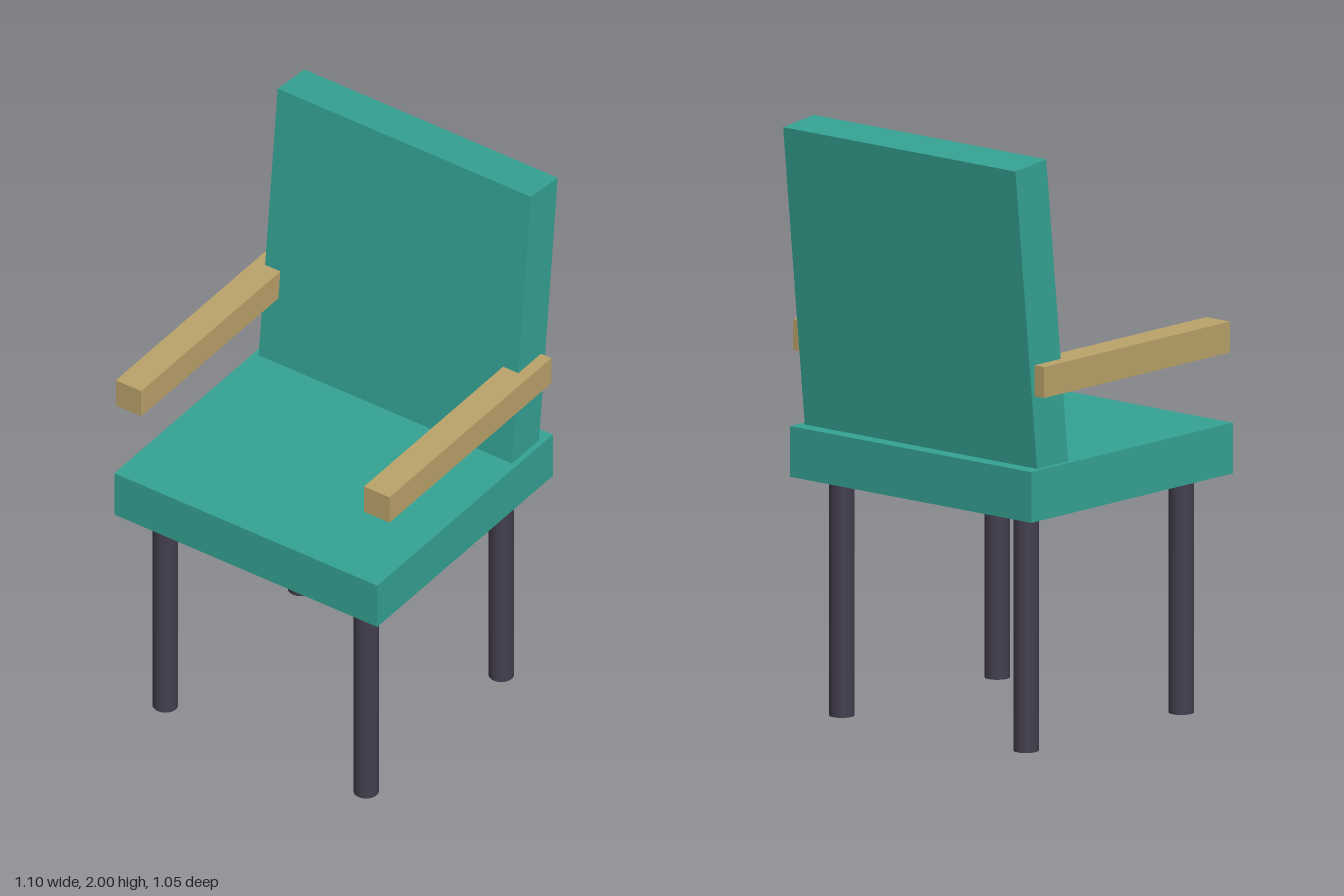
import * as THREE from 'three';

export function createModel() {
  const chair = new THREE.Group();
  chair.name = 'armchair';

  const material = (name, color) => {
    const m = new THREE.MeshStandardMaterial({ color });
    m.name = name;
    return m;
  };
  const teal = material('teal upholstery', 0x35a394);
  const wood = material('tan wood', 0xbba36a);
  const dark = material('dark leg', 0x443e4e);

  const add = (name, geometry, mat, x, y, z) => {
    const mesh = new THREE.Mesh(geometry, mat);
    mesh.name = name;
    mesh.position.set(x, y, z);
    chair.add(mesh);
    return mesh;
  };

  // Seat cushion
  add('seat', new THREE.BoxGeometry(1.053, 0.17, 0.997), teal, 0, 0.885, 0.028);

  // Backrest, leaning back six degrees with its lower edge sunk into the seat
  const back = add('backrest', new THREE.BoxGeometry(1.014, 1.06, 0.153), teal, 0, 1.465, -0.395);
  back.rotation.x = -THREE.MathUtils.degToRad(6);

  // Armrests and legs, mirrored left and right
  const armGeometry = new THREE.BoxGeometry(0.102, 0.104, 0.919);
  const legGeometry = new THREE.CylinderGeometry(0.042, 0.042, 0.8, 24);
  for (const [side, s] of [['left', 1], ['right', -1]]) {
    add(side + 'Armrest', armGeometry, wood, s * 0.497, 1.267, 0.028);
    add(side + 'FrontLeg', legGeometry, dark, s * 0.402, 0.4, 0.413);
    add(side + 'BackLeg', legGeometry, dark, s * 0.402, 0.4, -0.355);
  }

  return chair;
}
